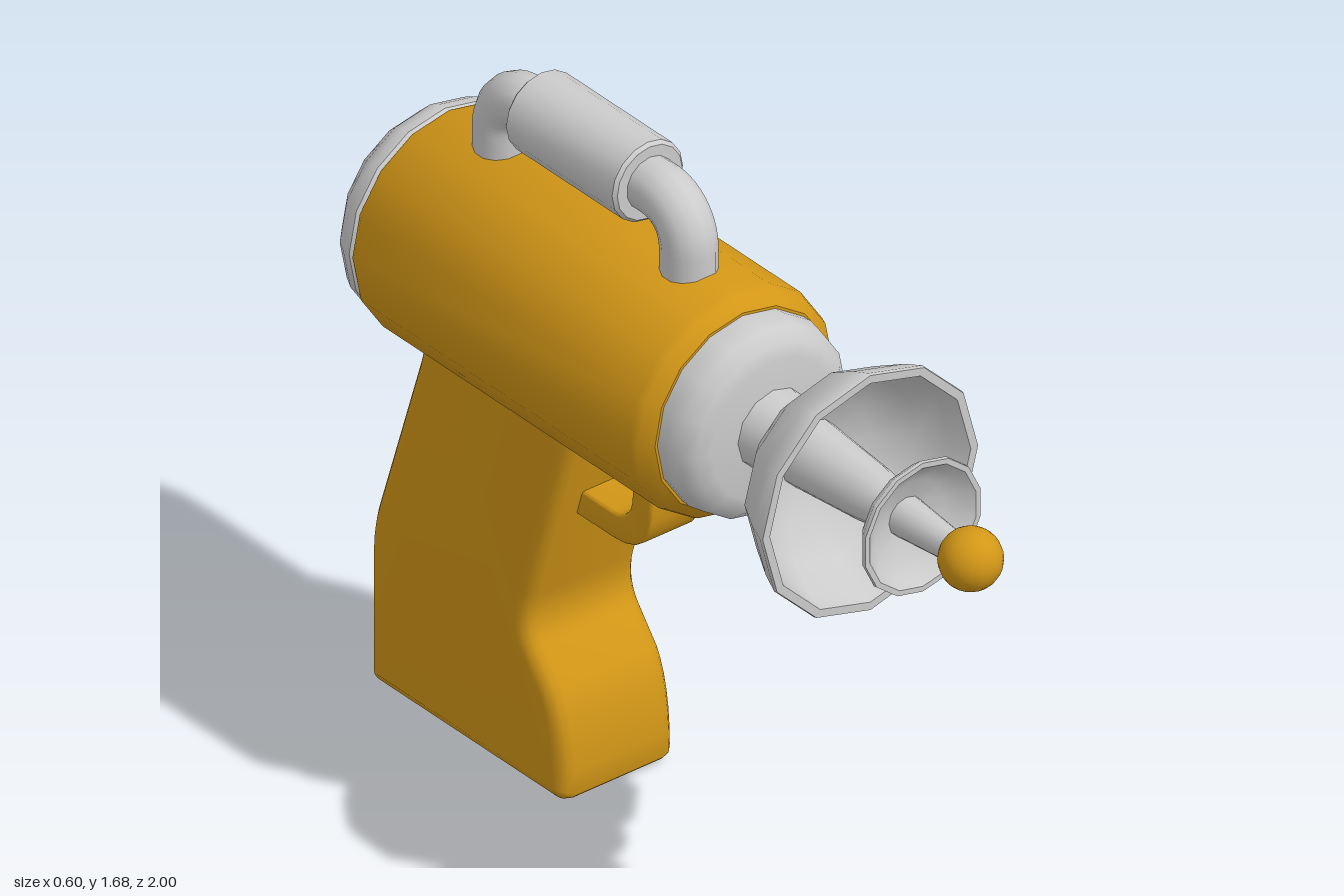
import * as THREE from 'three';
import { toCreasedNormals } from 'three/addons/utils/BufferGeometryUtils.js';

const AXIS_Y = 1.16; // height of the barrel axis
const grey = new THREE.MeshStandardMaterial({ color: 0xcccccc });
const orange = new THREE.MeshStandardMaterial({ color: 0xd39717 });

export function createModel() {
  const model = new THREE.Group();

  const add = (name, geometry, material) => {
    const mesh = new THREE.Mesh(geometry, material);
    mesh.name = name;
    model.add(mesh);
    return mesh;
  };

  // Turned part along the barrel axis; profile is [radius, z] from back to front
  const turned = (name, profile, sides, material, crease = 0.65) => {
    const points = profile.map(([r, z]) => new THREE.Vector2(r, z));
    const geometry = toCreasedNormals(new THREE.LatheGeometry(points, sides), crease);
    geometry.rotateX(Math.PI / 2);
    return add(name, geometry, material).position.setY(AXIS_Y);
  };

  // Side outline in (z, y), extruded across x with rounded edges
  const slab = (name, shape, width, bevel, material) => {
    const geometry = new THREE.ExtrudeGeometry(shape, {
      depth: width - 2 * bevel, bevelThickness: bevel, bevelSize: bevel,
      bevelOffset: -bevel, bevelSegments: 3, curveSegments: 6,
    });
    geometry.translate(0, 0, -(width - 2 * bevel) / 2);
    geometry.rotateY(-Math.PI / 2);
    add(name, toCreasedNormals(geometry, 0.65), material);
  };

  // Main body and its two end caps
  turned('body', [[0, -0.845], [0.25, -0.845], [0.268, -0.84], [0.277, -0.825],
    [0.277, 0.11], [0.27, 0.13], [0.243, 0.155], [0, 0.155]], 16, orange);
  turned('rearCap', [[0, -1], [0.135, -1], [0.14, -0.995], [0.14, -0.965], [0.16, -0.965],
    [0.212, -0.945], [0.25, -0.905], [0.265, -0.875], [0.265, -0.855], [0.25, -0.84], [0, -0.84]], 16, grey);
  turned('frontCollar', [[0, 0.13], [0.235, 0.13], [0.238, 0.18], [0.23, 0.222],
    [0.205, 0.25], [0.17, 0.258], [0, 0.258]], 16, grey);

  // Tapered barrel, two dishes and the ball tip
  turned('barrel', [[0, 0.24], [0.1, 0.24], [0.083, 0.36], [0.066, 0.585],
    [0.05, 0.69], [0.045, 0.75], [0.034, 0.88], [0, 0.88]], 12, grey);
  turned('largeDish', [[0.05, 0.345], [0.085, 0.345], [0.165, 0.385], [0.24, 0.455], [0.28, 0.53],
    [0.3, 0.58], [0.298, 0.588], [0.278, 0.588], [0.262, 0.54], [0.222, 0.47],
    [0.15, 0.405], [0.05, 0.375]], 12, grey, 0.8);
  turned('smallDish', [[0.03, 0.683], [0.055, 0.685], [0.105, 0.705], [0.142, 0.73], [0.164, 0.757],
    [0.163, 0.766], [0.15, 0.766], [0.13, 0.745], [0.095, 0.722], [0.03, 0.705]], 14, grey, 0.8);
  add('ballTip', new THREE.SphereGeometry(0.072, 20, 14), orange).position.set(0, AXIS_Y, 0.928);

  // Bent carrying handle with a thicker sleeve
  const v = (z, y) => new THREE.Vector3(0, y, z);
  const handlePath = new THREE.CurvePath();
  handlePath.add(new THREE.LineCurve3(v(-0.028, 1.39), v(-0.028, 1.48)));
  handlePath.add(new THREE.CubicBezierCurve3(v(-0.028, 1.48), v(-0.028, 1.54), v(-0.07, 1.58), v(-0.13, 1.58)));
  handlePath.add(new THREE.LineCurve3(v(-0.13, 1.58), v(-0.56, 1.58)));
  handlePath.add(new THREE.CubicBezierCurve3(v(-0.56, 1.58), v(-0.62, 1.58), v(-0.662, 1.54), v(-0.662, 1.48)));
  handlePath.add(new THREE.LineCurve3(v(-0.662, 1.48), v(-0.662, 1.39)));
  add('carryHandle', new THREE.TubeGeometry(handlePath, 60, 0.064, 14), grey);
  const sleeve = [[0, -0.535], [0.09, -0.535], [0.098, -0.527], [0.098, -0.168],
    [0.09, -0.16], [0, -0.16]].map(([r, z]) => new THREE.Vector2(r, z));
  const sleeveGeometry = toCreasedNormals(new THREE.LatheGeometry(sleeve, 16), 0.65);
  sleeveGeometry.rotateX(Math.PI / 2);
  add('handleSleeve', sleeveGeometry, grey).position.y = 1.58;

  // Grip with a finger hollow and flared foot
  const grip = new THREE.Shape();
  grip.moveTo(-0.235, 0.99);
  grip.lineTo(-0.25, 0.91);
  grip.lineTo(-0.385, 0.47);
  grip.quadraticCurveTo(-0.408, 0.39, -0.37, 0.345);
  grip.lineTo(-0.31, 0.27);
  grip.quadraticCurveTo(-0.262, 0.19, -0.262, 0.03);
  grip.quadraticCurveTo(-0.262, 0.005, -0.3, 0);
  grip.lineTo(-0.89, 0);
  grip.quadraticCurveTo(-0.925, 0.003, -0.925, 0.03);
  grip.lineTo(-0.925, 0.5 - 0.16);
  grip.quadraticCurveTo(-0.925, 0.4, -0.905, 0.46);
  grip.lineTo(-0.765, 0.89);
  grip.lineTo(-0.74, 0.99);
  slab('grip', grip, 0.315, 0.035, orange);

  // Trigger guard hooking from the body to the grip
  const guard = new THREE.Shape();
  guard.moveTo(-0.065, 0.93);
  guard.lineTo(-0.065, 0.83);
  guard.bezierCurveTo(-0.065, 0.73, -0.11, 0.687, -0.2, 0.687);
  guard.lineTo(-0.36, 0.687);
  guard.lineTo(-0.36, 0.755);
  guard.lineTo(-0.2, 0.755);
  guard.bezierCurveTo(-0.155, 0.755, -0.132, 0.78, -0.132, 0.83);
  guard.lineTo(-0.132, 0.93);
  slab('triggerGuard', guard, 0.148, 0.008, orange);

  return model;
}
